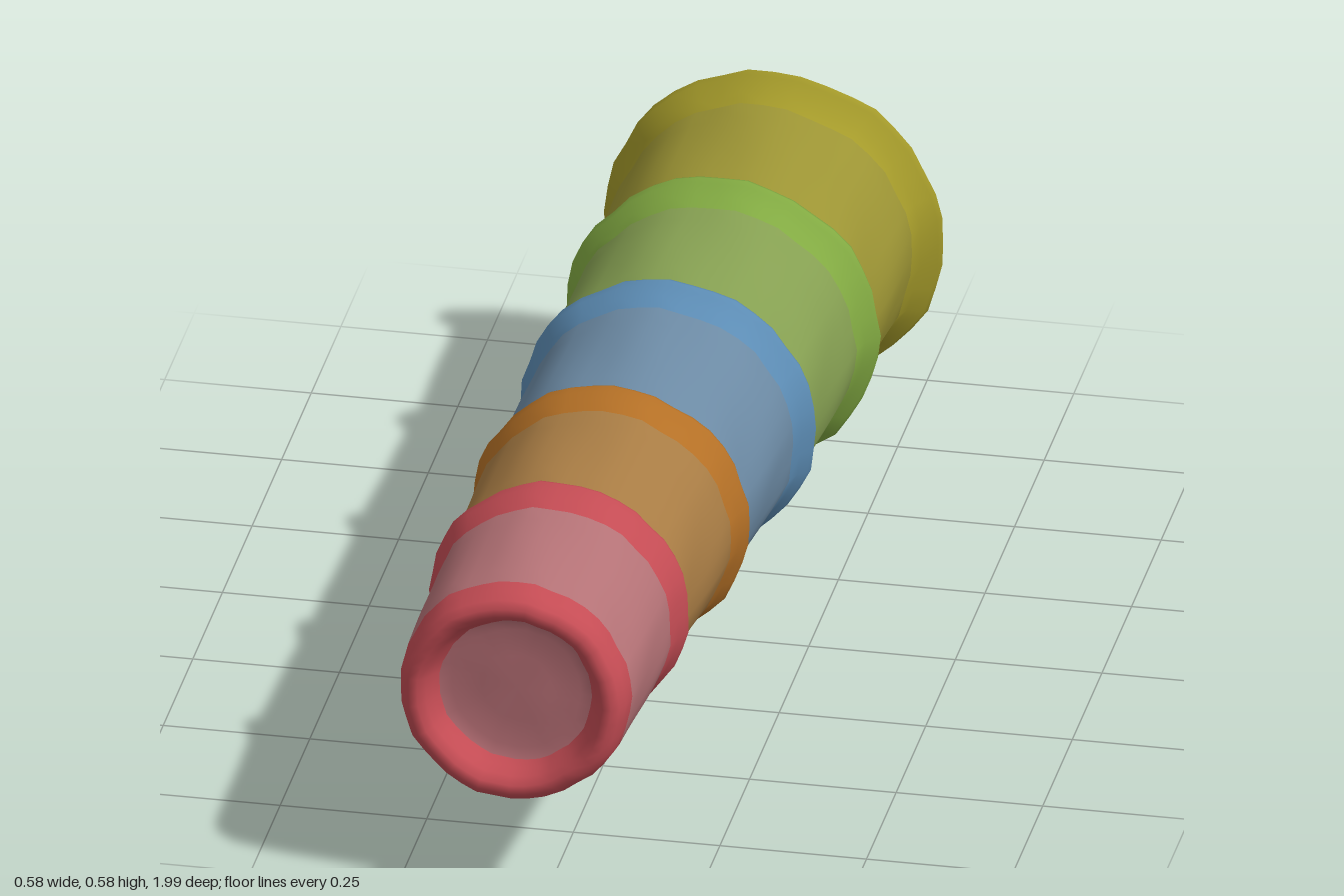
import * as THREE from 'three';
import { mergeVertices } from 'three/addons/utils/BufferGeometryUtils.js';

// The stack's axis drifts as the cups lean on one side: [z, x, y]
const AXIS = [
  [-1, 0, 0.296], [-0.95, 0, 0.296], [-0.9, -0.006, 0.298], [-0.57, -0.012, 0.305],
  [-0.18, -0.026, 0.322], [0.22, -0.042, 0.337], [0.59, -0.056, 0.354], [1, -0.06, 0.367],
];

function axisAt(z) {
  let i = 0;
  while (i < AXIS.length - 2 && z > AXIS[i + 1][0]) i++;
  const [a, b] = [AXIS[i], AXIS[i + 1]];
  const t = THREE.MathUtils.clamp((z - a[0]) / (b[0] - a[0]), 0, 1);
  return [THREE.MathUtils.lerp(a[1], b[1], t), THREE.MathUtils.lerp(a[2], b[2], t)];
}

// Lumpy hand-worn surface, continuous round the axis and along it
function wobble(angle, z) {
  return 1 + 0.007 * Math.sin(9 * angle + 7 * z) + 0.006 * Math.sin(17 * angle - 4 * z)
    + 0.004 * Math.sin(5 * angle + 23 * z);
}

// Turned piece along z from [z, radius] points running back to front
function turned(name, profile, color) {
  const pts = profile.map(([z, r]) => new THREE.Vector2(r, z));
  let geo = new THREE.LatheGeometry(pts, 40);
  geo.rotateX(Math.PI / 2);
  geo.deleteAttribute('uv');
  geo.deleteAttribute('normal');
  const p = geo.attributes.position;
  for (let i = 0; i < p.count; i++) {
    const x = p.getX(i), y = p.getY(i), z = p.getZ(i);
    const [cx, cy] = axisAt(z);
    const k = wobble(Math.atan2(y, x), z);
    const ripple = 0.004 * Math.sin(16 * x + 3) * Math.sin(19 * y);
    p.setXYZ(i, cx + x * k, cy + y * k, z + ripple);
  }
  geo = mergeVertices(geo, 1e-4);
  geo.computeVertexNormals();
  const mesh = new THREE.Mesh(geo, new THREE.MeshStandardMaterial({ color, side: THREE.DoubleSide }));
  mesh.name = name;
  return mesh;
}

// Each cup: rim position and radius, wall radii, front end, radius of the wall behind its rim
const CUPS = [
  { name: 'yellow', z: -0.95, rim: 0.289, back: 0.255, front: 0.245, end: -0.595, wall: 0x9c9434, edge: 0xa49a2a },
  { name: 'green', z: -0.57, rim: 0.268, back: 0.242, front: 0.236, end: -0.205, wall: 0x86a052, edge: 0x82aa42, behind: 0.246 },
  { name: 'blue', z: -0.18, rim: 0.252, back: 0.23, front: 0.22, end: 0.195, wall: 0x6c8aa4, edge: 0x5c8cb4, behind: 0.236 },
  { name: 'orange', z: 0.22, rim: 0.236, back: 0.219, front: 0.207, end: 0.565, wall: 0xa87c44, edge: 0xb47026, behind: 0.22 },
  { name: 'red', z: 0.59, rim: 0.221, back: 0.204, front: 0.195, end: 0.93, wall: 0xb47276, edge: 0xc44c54, behind: 0.207 },
];

export function createModel() {
  const group = new THREE.Group();
  group.name = 'stackedCups';

  for (const c of CUPS) {
    const cup = new THREE.Group();
    cup.name = c.name + 'Cup';

    // Flared rim, stepping up from the wall of the larger cup behind
    const start = c.behind
      ? [[c.z - 0.025, c.behind], [c.z - 0.012, c.rim - 0.004]]
      : [[c.z - 0.008, c.rim - 0.006]];
    const flare = c.z + 0.065;
    cup.add(turned('rim', [
      ...start, [c.z, c.rim], [c.z + 0.013, c.rim - 0.004],
      [c.z + 0.032, c.back + 0.006], [flare, c.back],
    ], c.edge));

    // Tapering wall
    const wall = [];
    for (let i = 0; i <= 6; i++) {
      const t = i / 6;
      wall.push([
        THREE.MathUtils.lerp(flare, c.end, t),
        THREE.MathUtils.lerp(c.back, c.front, t),
      ]);
    }
    cup.add(turned('wall', wall, c.wall));
    group.add(cup);
  }

  // Shallow domed disc closing the wide end
  group.children[0].add(turned('endDisc', [
    [-0.994, 0], [-0.991, 0.06], [-0.984, 0.13], [-0.974, 0.2], [-0.965, 0.26], [-0.958, 0.283],
  ], 0x9c9434));

  // Rounded lip and recessed base at the narrow end
  const red = group.children[4];
  red.add(turned('baseLip', [
    [0.93, 0.195], [0.965, 0.192], [0.985, 0.185], [0.996, 0.173], [0.994, 0.158],
    [0.98, 0.146], [0.96, 0.139], [0.945, 0.13],
  ], 0xc44c54));
  red.add(turned('baseFloor', [
    [0.945, 0.13], [0.938, 0.11], [0.936, 0.06], [0.936, 0],
  ], 0xb87076));

  return group;
}
